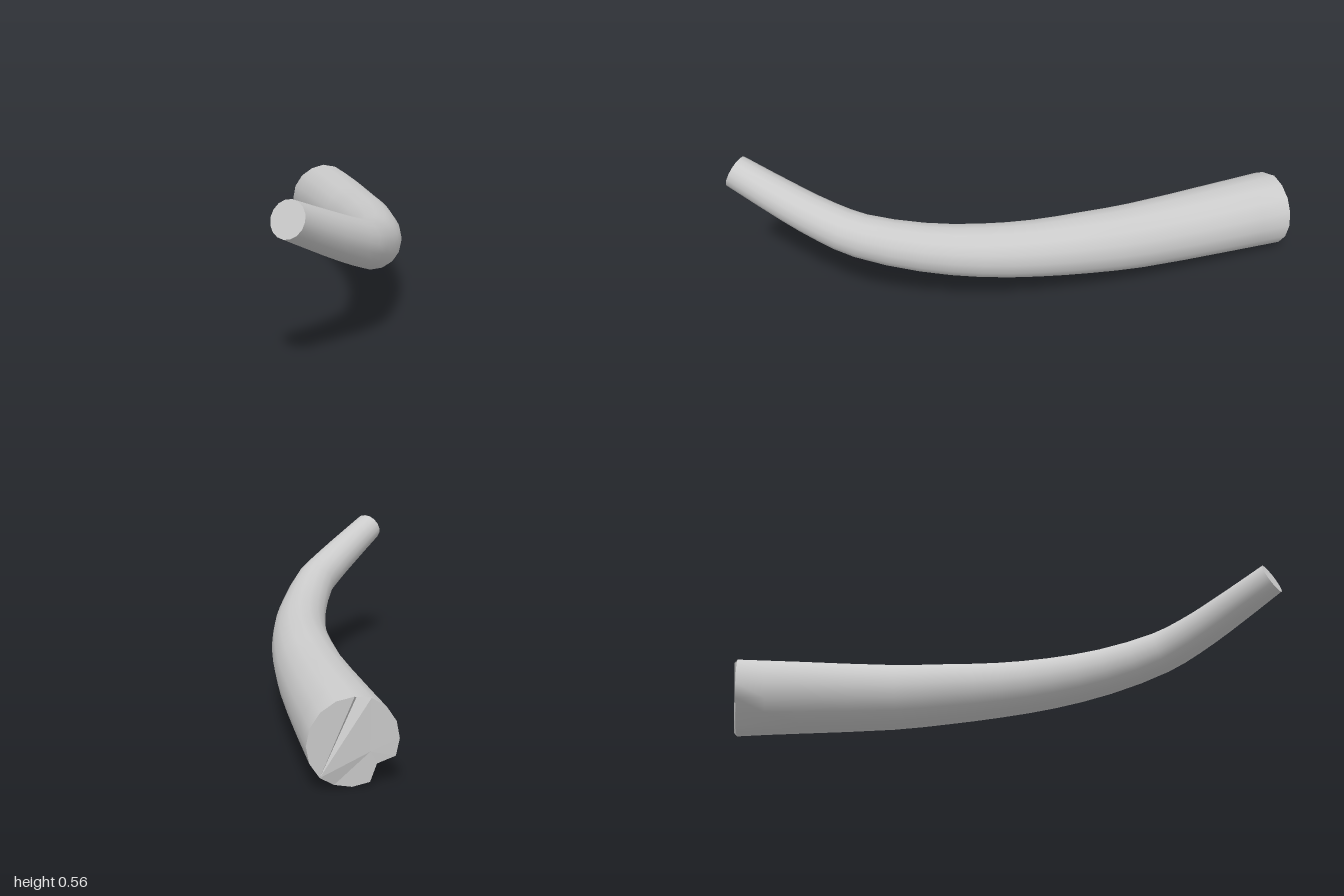
import * as THREE from 'three';

const SIDES = 16;
const STEPS = 2; // rings per centre-line point

// centre line from thick base to thin tip: x, y, z, radius
const LINE = [
  [0.187, 0.145, -0.992, 0.143], [0.195, 0.16, -0.75, 0.135], [0.2, 0.18, -0.4, 0.123],
  [0.195, 0.2, -0.2, 0.115], [0.18, 0.22, 0, 0.105], [0.148, 0.245, 0.2, 0.097],
  [0.095, 0.28, 0.4, 0.088], [0.02, 0.335, 0.6, 0.079], [-0.05, 0.375, 0.7, 0.074],
  [-0.137, 0.425, 0.8, 0.069], [-0.285, 0.511, 0.955, 0.06],
];

// one ring of points square to the centre line
function ring(curve, t) {
  const f = t * (LINE.length - 1);
  const i = Math.min(Math.floor(f), LINE.length - 2);
  const radius = THREE.MathUtils.lerp(LINE[i][3], LINE[i + 1][3], f - i);
  const centre = curve.getPoint(t);
  const tangent = curve.getTangent(t);
  const right = new THREE.Vector3(0, 1, 0).cross(tangent).normalize();
  const up = tangent.clone().cross(right);
  return Array.from({ length: SIDES }, (_, j) => {
    const a = (j / SIDES) * Math.PI * 2;
    // small dent in the lower side of the base rim
    const r = t === 0 && j === 10 ? radius * 0.74 : radius;
    return centre.clone().addScaledVector(right, r * Math.cos(a)).addScaledVector(up, r * Math.sin(a));
  });
}

// flat fan over a loop of points
function fan(points, hub) {
  const out = [];
  points.forEach((p, i) => out.push(p, points[(i + 1) % points.length], hub));
  return out;
}

function average(points) {
  return points.reduce((s, p) => s.add(p), new THREE.Vector3()).divideScalar(points.length);
}

export function createModel() {
  const group = new THREE.Group();
  const material = new THREE.MeshStandardMaterial({ color: 0xcccccc, side: THREE.DoubleSide });
  const add = (name, geometry) => {
    geometry.computeVertexNormals();
    const mesh = new THREE.Mesh(geometry, material);
    mesh.name = name;
    group.add(mesh);
  };

  const curve = new THREE.CatmullRomCurve3(LINE.map(([x, y, z]) => new THREE.Vector3(x, y, z)));
  const count = (LINE.length - 1) * STEPS;
  const rings = Array.from({ length: count + 1 }, (_, i) => ring(curve, i / count));
  const base = rings[0];
  const tip = rings[count];

  // one half of the split base sits slightly deeper
  for (let j = 5; j < 14; j++) base[j].z += 0.015;

  // smooth tapered body
  const index = [];
  for (let i = 0; i < count; i++) {
    for (let j = 0; j < SIDES; j++) {
      const k = (j + 1) % SIDES;
      const a = i * SIDES + j, b = i * SIDES + k;
      index.push(a, b, b + SIDES, a, b + SIDES, a + SIDES);
    }
  }
  const body = new THREE.BufferGeometry().setFromPoints(rings.flat());
  body.setIndex(index);
  add('body', body);

  // tip end
  add('tipCap', new THREE.BufferGeometry().setFromPoints(fan(tip, average(tip))));

  // base end in two halves
  const halves = [
    ['baseCapLeft', [14, 15, 0, 1, 2, 3, 4]],
    ['baseCapRight', [5, 6, 7, 8, 9, 10, 11, 12, 13, 14]],
  ];
  for (const [name, ids] of halves) {
    const loop = ids.map((j) => base[j]).reverse();
    add(name, new THREE.BufferGeometry().setFromPoints(fan(loop, average(loop))));
  }

  // narrow wedge-shaped slit between the halves
  const deep = base[4].clone().lerp(base[5], 0.5);
  deep.z += 0.06;
  add('baseSlit', new THREE.BufferGeometry().setFromPoints([
    base[4], base[14], deep, base[14], base[5], deep,
  ]));

  return group;
}
